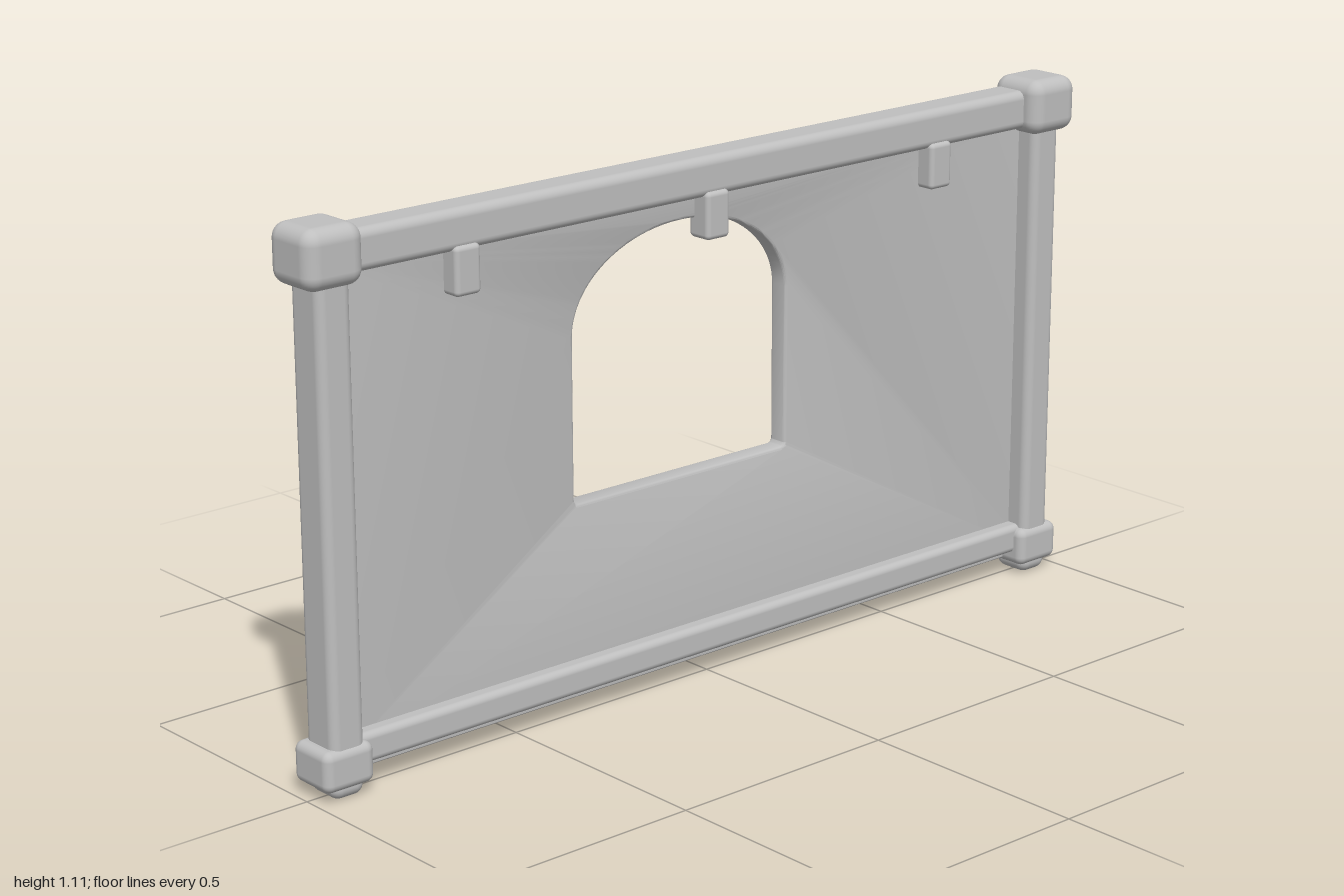
import * as THREE from 'three';
import { toCreasedNormals } from 'three/addons/utils/BufferGeometryUtils.js';
import { RoundedBoxGeometry } from 'three/addons/geometries/RoundedBoxGeometry.js';

export function createModel() {
  const model = new THREE.Group();
  model.name = 'windowWall';
  const grey = new THREE.MeshStandardMaterial({ color: 0xbfbfbf });
  grey.name = 'plain grey';

  // Rounded block given by its limits on each axis
  function block(name, [x0, x1], [y0, y1], [z0, z1], radius) {
    const geometry = new RoundedBoxGeometry(x1 - x0, y1 - y0, z1 - z0, 4, radius);
    const mesh = new THREE.Mesh(geometry, grey);
    mesh.name = name;
    mesh.position.set((x0 + x1) / 2, (y0 + y1) / 2, (z0 + z1) / 2);
    model.add(mesh);
  }

  // Wall panel with an arched window opening
  const wall = new THREE.Shape();
  wall.moveTo(-0.96, 0.03);
  wall.lineTo(0.96, 0.03);
  wall.lineTo(0.96, 1.04);
  wall.lineTo(-0.96, 1.04);
  wall.closePath();

  const left = -0.342, right = 0.216, sill = 0.432, spring = 0.77, r = 0.012;
  const opening = new THREE.Path();
  opening.moveTo(left + r, sill);
  opening.lineTo(right - r, sill);
  opening.quadraticCurveTo(right, sill, right, sill + r);
  opening.lineTo(right, spring);
  opening.absellipse((left + right) / 2, spring, (right - left) / 2, 0.187, 0, Math.PI, false);
  opening.lineTo(left, sill + r);
  opening.quadraticCurveTo(left, sill, left + r, sill);
  wall.holes.push(opening);

  const bevel = 0.006;
  const panelGeometry = new THREE.ExtrudeGeometry(wall, {
    depth: 0.044 - 2 * bevel, curveSegments: 24,
    bevelEnabled: true, bevelSize: bevel, bevelThickness: bevel, bevelOffset: -bevel, bevelSegments: 3,
  });
  panelGeometry.translate(0, 0, -0.046 + bevel);
  const panel = new THREE.Mesh(toCreasedNormals(panelGeometry, 0.6), grey);
  panel.name = 'wallPanel';
  model.add(panel);

  // Horizontal rails
  block('topRail', [-0.93, 0.93], [1.0, 1.082], [-0.056, 0.03], 0.018);
  block('bottomRail', [-0.93, 0.93], [0.05, 0.112], [-0.03, 0.03], 0.014);

  // Posts, corner caps and feet on both sides
  for (const side of [-1, 1]) {
    const span = (a, b) => (side > 0 ? [a, b] : [-b, -a]);
    const label = side > 0 ? 'left' : 'right';
    block(label + 'Post', span(0.892, 0.968), [0.05, 1.04], [-0.045, 0.045], 0.018);
    block(label + 'TopCap', span(0.87, 1.0), [0.988, 1.105], [-0.065, 0.065], 0.03);
    block(label + 'BottomCap', span(0.876, 0.99), [0.022, 0.105], [-0.057, 0.053], 0.018);
    block(label + 'Foot', span(0.893, 0.967), [0, 0.06], [-0.043, 0.045], 0.022);
  }

  // Clips hanging under the top rail
  for (const x of [-0.62, 0, 0.62]) {
    block('clip', [x - 0.03, x + 0.03], [0.915, 1.012], [-0.02, 0.037], 0.01);
  }
  return model;
}
